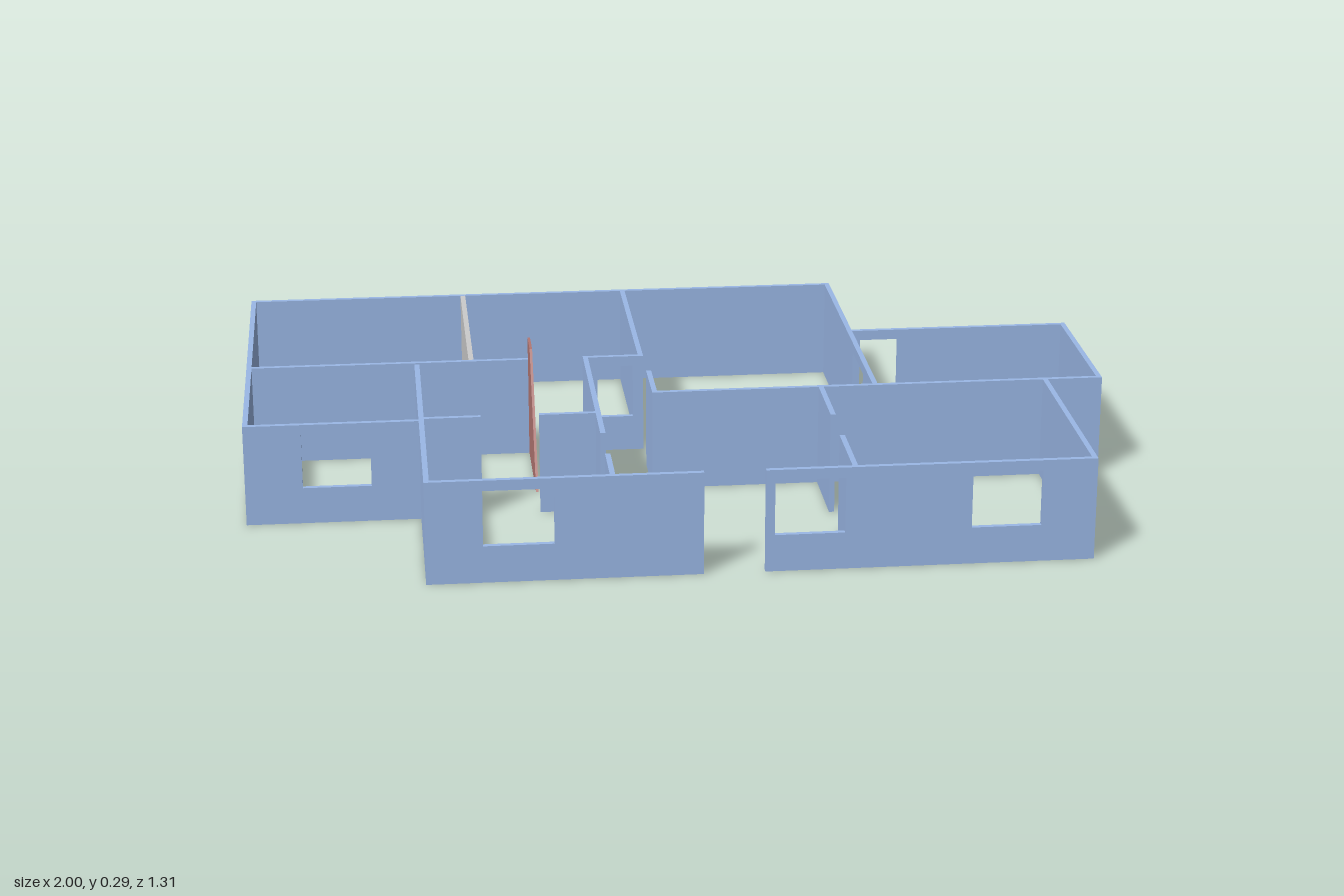
import * as THREE from 'three';

const H = 0.237; // wall height
const T = 0.012; // wall thickness
const SILL = 0.085, HEAD = 0.213; // window bottom and top

const blue = new THREE.MeshStandardMaterial({ color: 0x9bb8e6 });
const red = new THREE.MeshStandardMaterial({ color: 0xb27773 });
const grey = new THREE.MeshStandardMaterial({ color: 0xcccccc });

// Upright slab from a to b along one axis, centred on `at` across it, with window openings
function wall(name, axis, at, a, b, windows = [], material = blue) {
  const outline = (s, u0, u1, v0, v1) =>
    s.moveTo(u0, v0).lineTo(u1, v0).lineTo(u1, v1).lineTo(u0, v1).closePath();
  const shape = outline(new THREE.Shape(), a, b, 0, H);
  for (const [w0, w1] of windows) shape.holes.push(outline(new THREE.Path(), w0, w1, SILL, HEAD));
  const geo = new THREE.ExtrudeGeometry(shape, { depth: T, bevelEnabled: false });
  geo.translate(0, 0, -T / 2);
  if (axis === 'z') geo.rotateY(-Math.PI / 2); // local x becomes z
  const mesh = new THREE.Mesh(geo, material);
  mesh.name = name;
  if (axis === 'z') mesh.position.x = at;
  else mesh.position.z = at;
  return mesh;
}

export function createModel() {
  const group = new THREE.Group();
  group.name = 'floorPlan';

  // Outer walls: name, running axis, position across, start, end, windows
  const outer = [
    ['backWall', 'x', -0.65, -1, 0.465],
    ['rightSideWall', 'z', -0.994, -0.656, 0.266],
    ['bedroomFrontWall', 'x', 0.26, -1, -0.593, [[-0.87, -0.715]]],
    ['entranceSideWall', 'z', -0.599, -0.125, 0.652],
    ['frontWallRight', 'x', 0.646, -0.605, 0, [[-0.48, -0.325]]],
    ['frontWallLeft', 'x', 0.646, 0.135, 0.866, [[0.155, 0.31], [0.59, 0.745]]],
    ['livingSideWall', 'z', 0.86, 0.117, 0.652],
    ['annexFrontWall', 'x', 0.123, -0.063, 0.995],
    ['annexSideWall', 'z', 0.989, -0.279, 0.129],
    ['annexBackWall', 'x', -0.273, 0.454, 0.995, [[0.485, 0.578]]],
    ['leftSideWall', 'z', 0.459, -0.656, 0.129, [[-0.175, -0.02]]],
  ];

  // Inner partitions, with full-height doorways left between them
  const inner = [
    ['corridorWall', 'x', -0.14, -1, -0.332],
    ['roomDivider', 'z', -0.066, -0.656, -0.134],
    ['shortWindowWall', 'x', -0.14, -0.204, -0.06, [[-0.17, -0.085]]],
    ['hallWallBack', 'z', -0.198, -0.146, 0.385],
    ['hallWallFront', 'z', -0.198, 0.515, 0.652],
    ['doorStubRight', 'x', 0.247, -0.605, -0.465],
    ['doorStubLeft', 'x', 0.247, -0.332, -0.192],
    ['kitchenStub', 'z', -0.057, 0.129, -0.027],
    ['livingStubBack', 'z', 0.331, 0.117, 0.318],
    ['livingStubFront', 'z', 0.331, 0.452, 0.652],
  ];
  for (const [name, axis, at, a, b, windows] of [...outer, ...inner]) {
    group.add(wall(name, axis, at, Math.min(a, b), Math.max(a, b), windows));
  }

  // Grey partition between the two back rooms
  group.add(wall('greyPartition', 'z', -0.47, -0.645, -0.145, [], grey));

  // Sloping stair panel rising above the walls
  const panel = new THREE.Shape([
    new THREE.Vector2(-0.14, 0),
    new THREE.Vector2(0.127, 0),
    new THREE.Vector2(-0.055, 0.29),
    new THREE.Vector2(-0.14, 0.29),
  ]);
  const panelGeo = new THREE.ExtrudeGeometry(panel, { depth: 0.006, bevelEnabled: false });
  panelGeo.translate(0, 0, -0.003).rotateY(-Math.PI / 2);
  const stair = new THREE.Mesh(panelGeo, red);
  stair.name = 'stairPanel';
  stair.position.x = -0.332;
  group.add(stair);

  return group;
}
